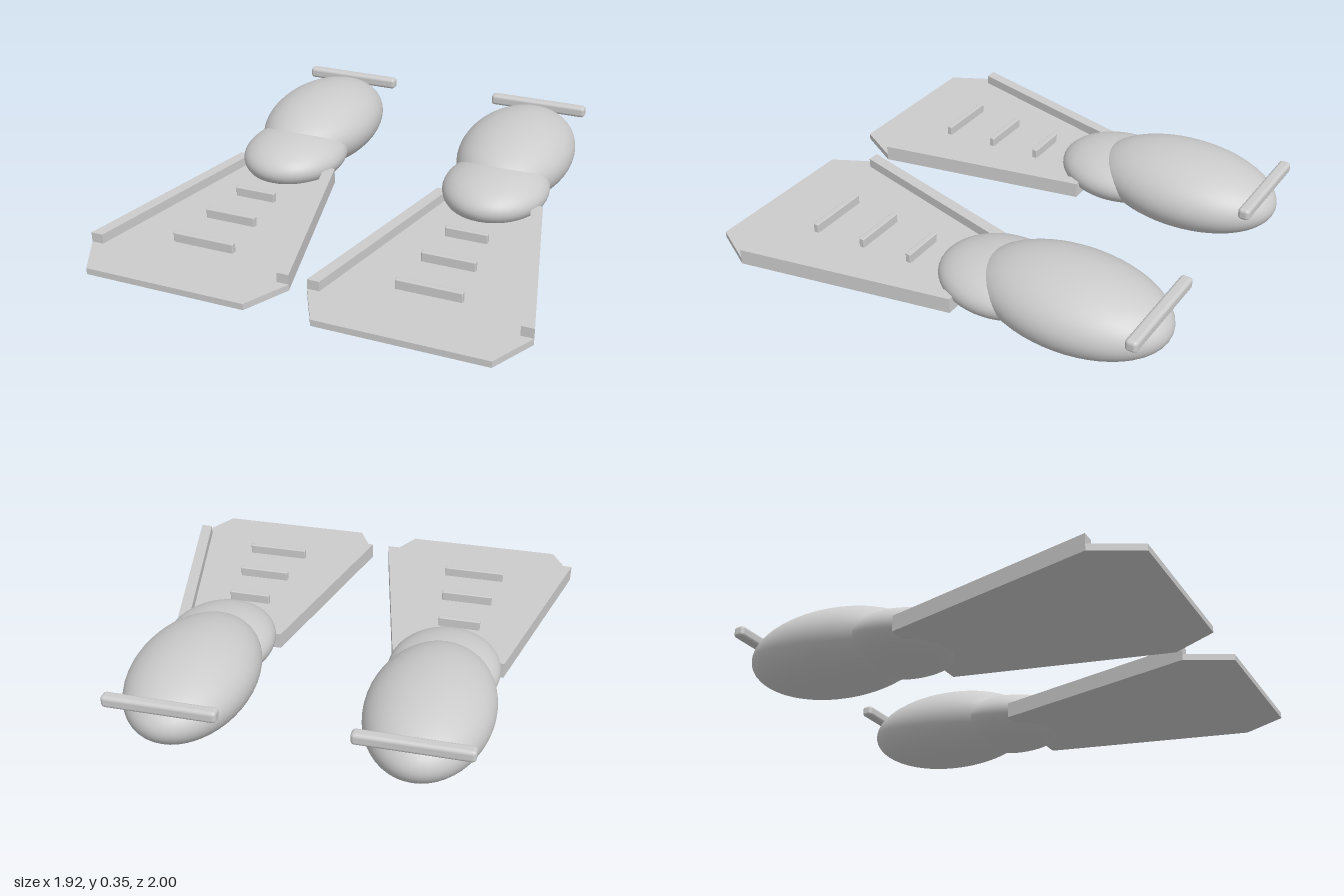
import * as THREE from 'three';
import { RoundedBoxGeometry } from 'three/addons/geometries/RoundedBoxGeometry.js';

const material = new THREE.MeshStandardMaterial({ color: 0xcccccc });

function add(parent, name, geometry, x, y, z) {
  const mesh = new THREE.Mesh(geometry, material);
  mesh.name = name;
  mesh.position.set(x, y, z);
  parent.add(mesh);
  return mesh;
}

// Flat slab from an outline of [x, z] points, standing between two heights
function slab(points, bottom, top) {
  const shape = new THREE.Shape(points.map(([x, z]) => new THREE.Vector2(x, -z)));
  const geometry = new THREE.ExtrudeGeometry(shape, { depth: top - bottom, bevelEnabled: false });
  return geometry.rotateX(-Math.PI / 2).translate(0, bottom, 0);
}

function ellipsoid(rx, ry, rz) {
  return new THREE.SphereGeometry(1, 48, 32).scale(rx, ry, rz);
}

function createFin() {
  const fin = new THREE.Group();

  // Foot pocket: heel body and a lower toe cap
  add(fin, 'footPocket', ellipsoid(0.265, 0.173, 0.43), 0, 0.177, -0.57);
  add(fin, 'toeCap', ellipsoid(0.24, 0.118, 0.285), 0, 0.147, -0.235);

  // Flared blade with clipped tip corners
  const blade = [[-0.24, -0.135], [-0.46, 0.805], [-0.357, 1], [0.357, 1], [0.46, 0.805], [0.24, -0.135]];
  add(fin, 'blade', slab(blade, 0.074, 0.102), 0, 0, 0);

  // Raised side rails
  for (const s of [-1, 1]) {
    const rail = [[s * 0.245, -0.135], [s * 0.46, 0.805], [s * 0.407, 0.805], [s * 0.192, -0.135]];
    add(fin, s > 0 ? 'leftRail' : 'rightRail', slab(rail, 0.074, 0.145), 0, 0, 0);
  }

  // Cross ribs, wider toward the tip
  [[0.19, 0.19], [0.425, 0.235], [0.663, 0.282]].forEach(([z, width], i) => {
    add(fin, `rib${i + 1}`, new RoundedBoxGeometry(width, 0.05, 0.026, 2, 0.005), 0, 0.12, z);
  });

  // Heel strap bar
  add(fin, 'heelStrap', new RoundedBoxGeometry(0.474, 0.052, 0.052, 4, 0.016), 0, 0.272, -0.946);
  return fin;
}

export function createModel() {
  const model = new THREE.Group();
  model.name = 'swimFins';
  for (const s of [-1, 1]) {
    const fin = createFin();
    fin.name = s > 0 ? 'leftFin' : 'rightFin';
    fin.position.x = s * 0.5;
    model.add(fin);
  }
  return model;
}
